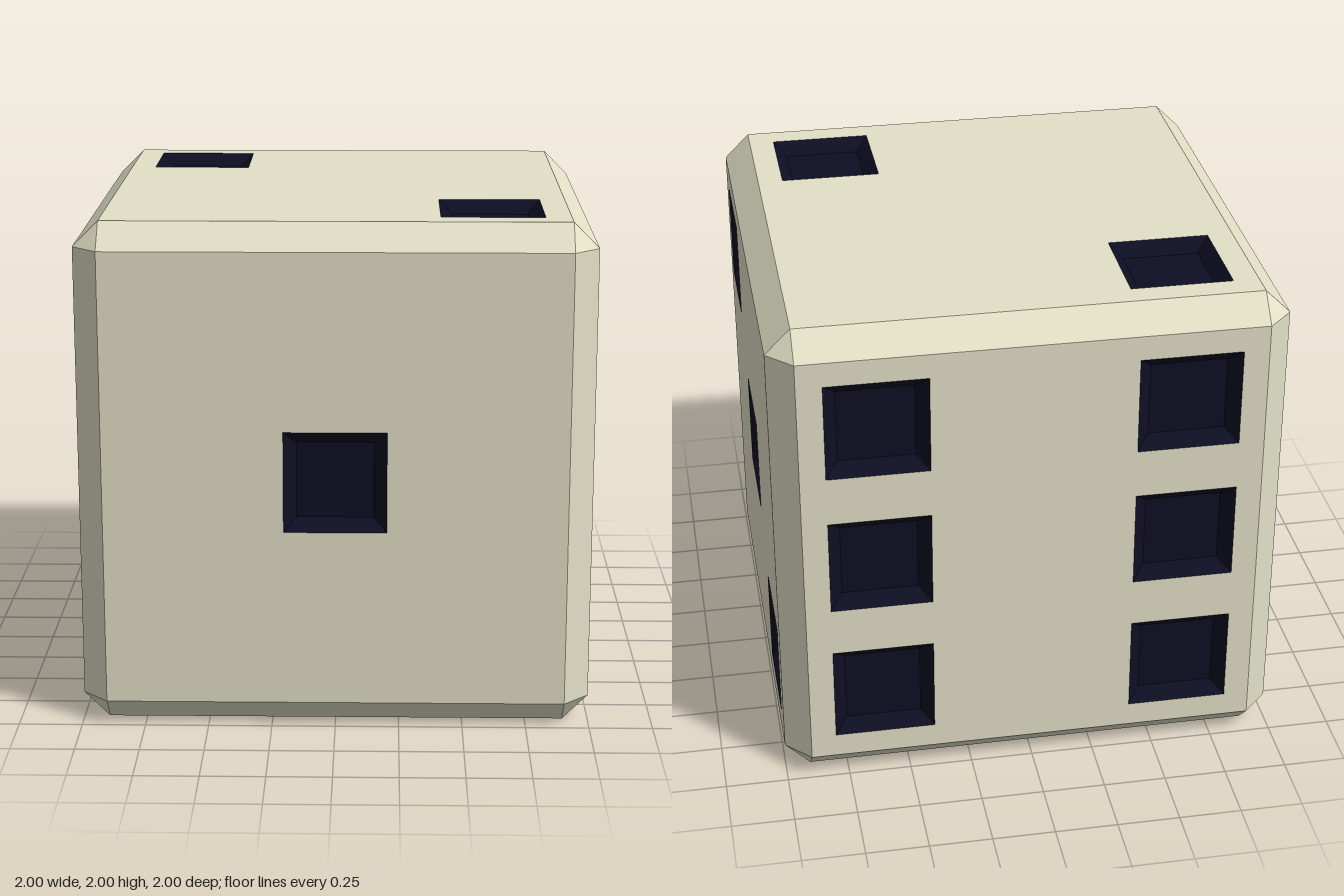
import * as THREE from 'three';

const EDGE = 0.9;    // half-width of the flat faces
const HALF = 1;      // half-size of the cube
const PIP = 0.2;     // half-width of a pip at the surface
const INNER = 0.15;  // half-width of a pip floor
const DEPTH = 0.05;  // pip depth

// Flat-shaded geometry from convex polygons, each wound to face along facing(centre)
function polygons(list, facing) {
  const pos = [];
  for (const poly of list) {
    const [a, b, c] = poly;
    const normal = b.clone().sub(a).cross(c.clone().sub(a));
    const centre = poly.reduce((s, p) => s.add(p), new THREE.Vector3()).divideScalar(poly.length);
    const p = normal.dot(facing(centre)) < 0 ? [...poly].reverse() : poly;
    for (let i = 1; i < p.length - 1; i++) {
      for (const v of [p[0], p[i], p[i + 1]]) pos.push(v.x, v.y, v.z);
    }
  }
  const geo = new THREE.BufferGeometry();
  geo.setAttribute('position', new THREE.Float32BufferAttribute(pos, 3));
  geo.computeVertexNormals();
  return geo;
}

// Chamfered edges and corners between the six faces
function bevelGeometry() {
  const list = [];
  const point = (axes, values) => {
    const v = new THREE.Vector3();
    axes.forEach((axis, i) => v.setComponent(axis, values[i]));
    return v;
  };
  for (let k = 0; k < 3; k++) {
    const axes = [k, (k + 1) % 3, (k + 2) % 3];
    for (const s of [-1, 1]) for (const t of [-1, 1]) {
      list.push([
        point(axes, [-EDGE, s * HALF, t * EDGE]), point(axes, [EDGE, s * HALF, t * EDGE]),
        point(axes, [EDGE, s * EDGE, t * HALF]), point(axes, [-EDGE, s * EDGE, t * HALF]),
      ]);
    }
  }
  for (const x of [-1, 1]) for (const y of [-1, 1]) for (const z of [-1, 1]) {
    list.push([
      new THREE.Vector3(x * HALF, y * EDGE, z * EDGE),
      new THREE.Vector3(x * EDGE, y * HALF, z * EDGE),
      new THREE.Vector3(x * EDGE, y * EDGE, z * HALF),
    ]);
  }
  return polygons(list, c => c);
}

// Square face with a square hole for every pip
function faceGeometry(pips) {
  const square = (path, x, y, r) => path.moveTo(x - r, y - r)
    .lineTo(x + r, y - r).lineTo(x + r, y + r).lineTo(x - r, y + r).closePath();
  const shape = new THREE.Shape();
  square(shape, 0, 0, EDGE);
  for (const [x, y] of pips) {
    const hole = new THREE.Path();
    square(hole, x, y, PIP);
    shape.holes.push(hole);
  }
  return new THREE.ShapeGeometry(shape);
}

// Sloping pip walls, in order: bottom, right, top, left; then the floor
function pipPolygons() {
  const ring = (r, z) => [[-1, -1], [1, -1], [1, 1], [-1, 1]]
    .map(([x, y]) => new THREE.Vector3(x * r, y * r, z));
  const rim = ring(PIP, 0), floor = ring(INNER, -DEPTH);
  const walls = rim.map((p, i) => [p, rim[(i + 1) % 4], floor[(i + 1) % 4], floor[i]]);
  return [...walls, floor];
}

export function createModel() {
  const ivory = new THREE.MeshStandardMaterial({ color: 0xe2e0c6 });
  ivory.name = 'ivory';
  const ink = new THREE.MeshStandardMaterial({ color: 0x0e0e24 });
  ink.name = 'ink';

  const die = new THREE.Group();
  die.name = 'die';
  const add = (parent, geo, mat, name) => {
    const mesh = new THREE.Mesh(geo, mat);
    mesh.name = name;
    parent.add(mesh);
    return mesh;
  };
  const body = new THREE.Group();
  body.name = 'body';
  body.position.y = HALF;
  die.add(body);
  add(body, bevelGeometry(), ivory, 'bevels');

  const outward = () => new THREE.Vector3(0, 0, 1);
  const polys = pipPolygons();
  const pipGeo = polygons(polys, outward);
  const openPipGeo = polygons(polys.filter((_, i) => i !== 3), outward);
  const leftWallGeo = polygons([polys[3]], outward);

  // Pip layouts
  const d = 0.6;
  const centre = [[0, 0]];
  const diagonal = [[-d, d], [d, -d]];
  const corners = [...diagonal, [-d, -d], [d, d]];
  const faces = [
    ['front', 0, 0, centre],
    ['right', 0, Math.PI / 2, [...diagonal, ...centre]],
    ['back', 0, Math.PI, [...corners, [-d, 0], [d, 0]]],
    ['left', 0, -Math.PI / 2, corners],
    ['top', -Math.PI / 2, 0, diagonal],
    ['bottom', Math.PI / 2, 0, [...corners, ...centre]],
  ];

  for (const [name, rx, ry, pips] of faces) {
    const side = new THREE.Group();
    side.name = name + 'Side';
    side.rotation.set(rx, ry, 0);
    body.add(side);
    add(side, faceGeometry(pips), ivory, name + 'Face').position.z = HALF;
    pips.forEach(([x, y], i) => {
      // One pip underneath has an unpainted wall
      const bare = name === 'bottom' && x < 0 && y < 0;
      add(side, bare ? openPipGeo : pipGeo, ink, `${name}Pip${i + 1}`).position.set(x, y, HALF);
      if (bare) add(side, leftWallGeo, ivory, 'unpaintedPipWall').position.set(x, y, HALF);
    });
  }
  return die;
}
